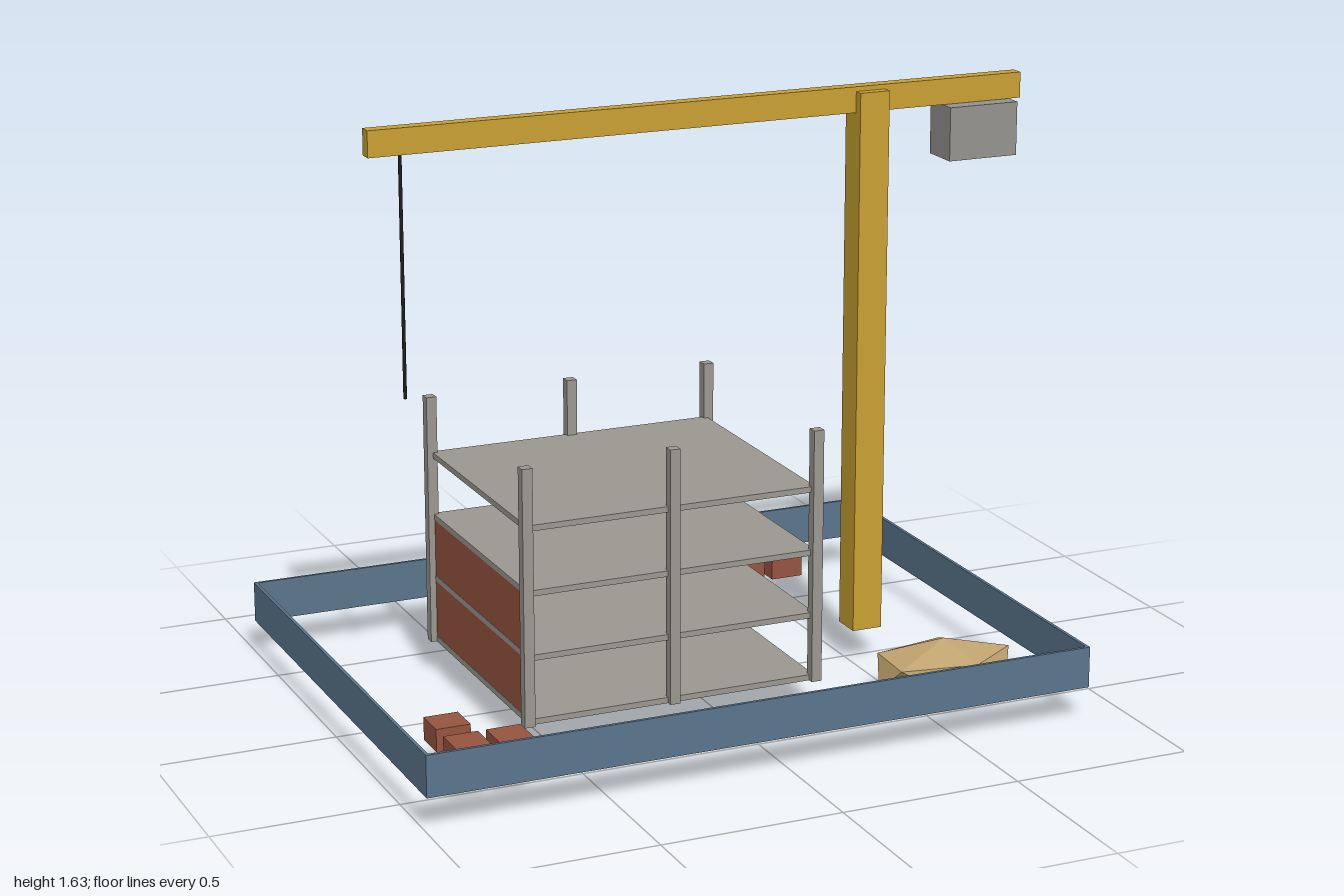
import * as THREE from 'three';
import { ConvexGeometry } from 'three/addons/geometries/ConvexGeometry.js';

const paint = (color) => new THREE.MeshStandardMaterial({ color });
const MAT = {
  fence: paint(0x5a758c), crane: paint(0xc8a032), concrete: paint(0x9a9890),
  weight: paint(0x949390), brick: paint(0x96543f), sand: paint(0xbfa36f), cable: paint(0x1c1c1c),
};
const GROUND = 0.094;

// Box given by its lower and upper limits on each axis
function box(parent, name, mat, [x0, x1], [y0, y1], [z0, z1]) {
  const mesh = new THREE.Mesh(new THREE.BoxGeometry(x1 - x0, y1 - y0, z1 - z0), mat);
  mesh.name = name;
  mesh.position.set((x0 + x1) / 2, (y0 + y1) / 2, (z0 + z1) / 2);
  parent.add(mesh);
}

function subgroup(parent, name) {
  const g = new THREE.Group();
  g.name = name;
  parent.add(g);
  return g;
}

function addFence(root) {
  const fence = subgroup(root, 'fence');
  const t = 0.009, y = [GROUND, 0.208];
  box(fence, 'frontFence', MAT.fence, [-1, 0.88], y, [0.702 - t, 0.702]);
  box(fence, 'backFence', MAT.fence, [-1, 0.88], y, [-0.702, -0.702 + t]);
  box(fence, 'rightFence', MAT.fence, [-1, -1 + t], y, [-0.702 + t, 0.702 - t]);
  box(fence, 'leftFence', MAT.fence, [0.88 - t, 0.88], y, [-0.702 + t, 0.702 - t]);
}

function addBuilding(root) {
  const building = subgroup(root, 'building');
  const storey = 0.1767, slab = 0.016;
  // Floor slabs
  for (let i = 0; i < 4; i++) {
    const y = GROUND + i * storey;
    box(building, 'floorSlab', MAT.concrete, [-0.59, 0.232], [y, y + slab], [-0.352, 0.352]);
  }
  // Columns along front and back
  for (const x of [-0.592, -0.18, 0.234])
    for (const z of [-0.353, 0.353])
      box(building, 'column', MAT.concrete, [x - 0.0145, x + 0.0145], [GROUND, 0.798], [z - 0.0145, z + 0.0145]);
  // Brick infill on the two lower storeys
  for (let i = 0; i < 2; i++) {
    const y = GROUND + i * storey;
    box(building, 'brickWall', MAT.brick, [-0.589, -0.571], [y + slab, y + storey], [-0.338, 0.338]);
  }
}

function addCrane(root) {
  const crane = subgroup(root, 'crane');
  box(crane, 'mast', MAT.crane, [0.499, 0.586], [GROUND, 1.62], [-0.03, 0.057]);
  box(crane, 'jib', MAT.crane, [-0.882, 1], [1.562, 1.633], [-0.008, 0.03]);
  box(crane, 'counterweight', MAT.weight, [0.764, 0.969], [1.413, 1.561], [-0.043, 0.072]);
  const cable = new THREE.Mesh(new THREE.CylinderGeometry(0.005, 0.005, 0.652, 8), MAT.cable);
  cable.name = 'cable';
  cable.position.set(-0.79, 1.238, 0.012);
  crane.add(cable);
}

function addMaterials(root) {
  // Brick pallets
  const stacks = subgroup(root, 'brickStacks');
  const r = 0.047;
  for (const [x, z] of [[-0.826, 0.38], [-0.826, 0.525], [-0.71, 0.525], [0.408, -0.475], [0.526, -0.475]])
    box(stacks, 'brickStack', MAT.brick, [x - r, x + r], [GROUND, GROUND + 0.062], [z - r, z + r]);

  // Faceted sand heap: lower ring, upper ring and two tips
  const lower = [[0.406, 0.4], [0.57, 0.524], [0.733, 0.508], [0.735, 0.32], [0.537, 0.283]];
  const upper = [[0.436, 0.33], [0.64, 0.29], [0.79, 0.422], [0.64, 0.522], [0.428, 0.487]];
  const points = [
    ...lower.map(([x, z]) => new THREE.Vector3(x, 0.05, z)),
    ...upper.map(([x, z]) => new THREE.Vector3(x, 0.132, z)),
    new THREE.Vector3(0.585, 0, 0.413),
    new THREE.Vector3(0.6, 0.175, 0.4),
  ];
  const heap = new THREE.Mesh(new ConvexGeometry(points), MAT.sand);
  heap.name = 'sandHeap';
  root.add(heap);
}

export function createModel() {
  const root = new THREE.Group();
  root.name = 'constructionSite';
  addFence(root);
  addBuilding(root);
  addCrane(root);
  addMaterials(root);
  return root;
}
